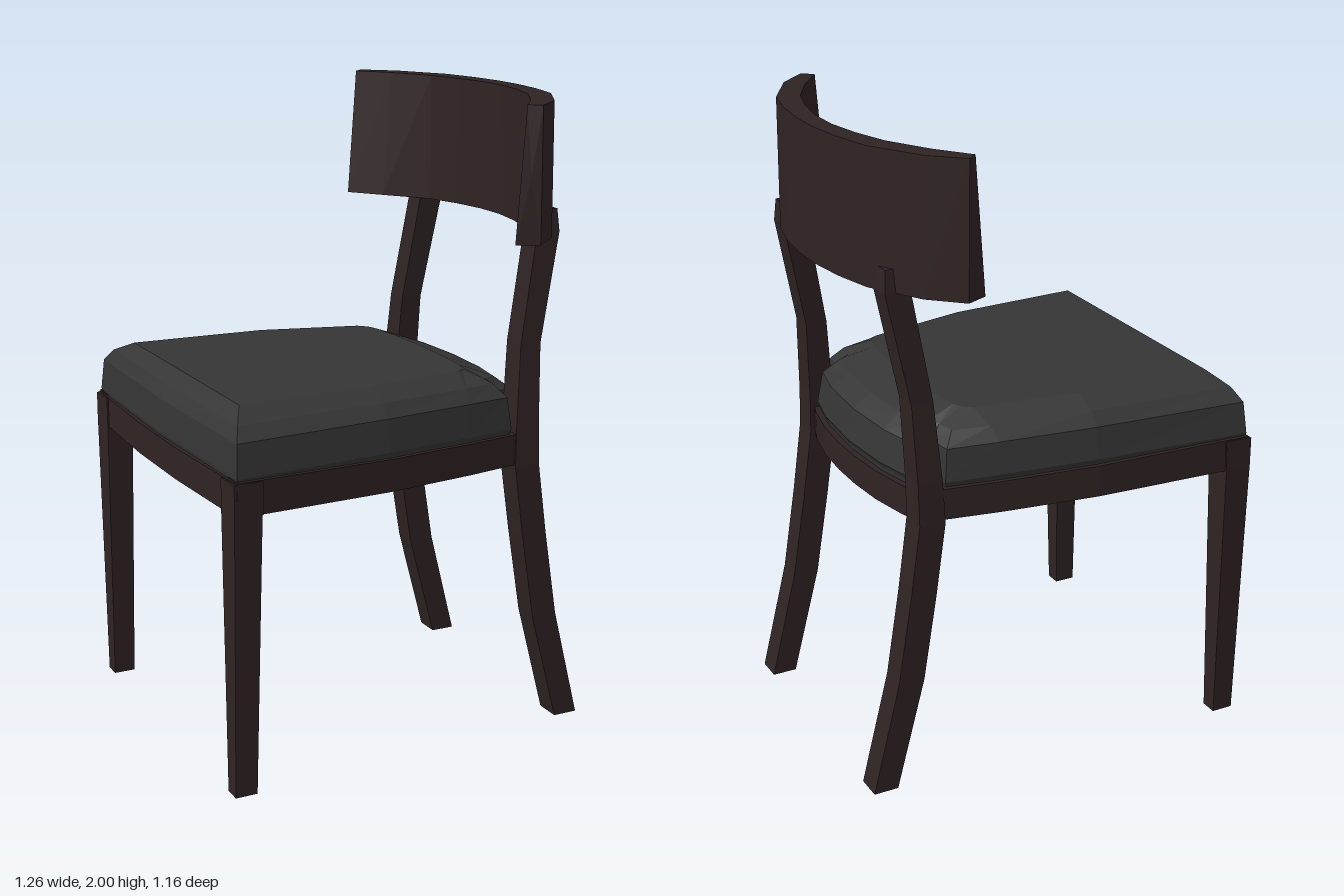
import * as THREE from 'three';

const wood = new THREE.MeshStandardMaterial({ color: 0x2f2323, flatShading: true });
wood.name = 'dark wood';
const fabric = new THREE.MeshStandardMaterial({ color: 0x353535, flatShading: true });
fabric.name = 'charcoal fabric';

// Skin a list of closed cross-sections (equal point counts) and cap both ends
function loft(sections) {
  const tris = [];
  const n = sections[0].length;
  for (let i = 0; i < sections.length - 1; i++) {
    const a = sections[i], b = sections[i + 1];
    for (let j = 0; j < n; j++) {
      const k = (j + 1) % n;
      tris.push([a[j], a[k], b[k]], [a[j], b[k], b[j]]);
    }
  }
  const cap = (s, flip) => {
    const c = [0, 1, 2].map(d => s.reduce((sum, p) => sum + p[d], 0) / n);
    for (let j = 0; j < n; j++) {
      const k = (j + 1) % n;
      tris.push(flip ? [c, s[k], s[j]] : [c, s[j], s[k]]);
    }
  };
  cap(sections[0], true);
  cap(sections[sections.length - 1], false);
  // Turn the faces outward whichever way the sections run
  const v = p => new THREE.Vector3(...p);
  const volume = tris.reduce((s, [a, b, c]) => s + v(a).dot(v(b).cross(v(c))), 0);
  if (volume < 0) tris.forEach(t => t.reverse());
  const geo = new THREE.BufferGeometry();
  geo.setAttribute('position', new THREE.Float32BufferAttribute(tris.flat(2), 3));
  geo.computeVertexNormals();
  return geo;
}

// Horizontal rectangle section, used by the legs
const rect = (y, x0, x1, z0, z1) => [[x0, y, z0], [x1, y, z0], [x1, y, z1], [x0, y, z1]];

// Vertical section of a rail from outer to inner edge
const slab = ([x, z], [dx, dz], y0, y1) =>
  [[x, y0, z], [x, y1, z], [x + dx, y1, z + dz], [x + dx, y0, z + dz]];

// Complete a half outline with its mirror image in z
const mirrorPath = half =>
  [...half, ...half.slice().reverse().filter(p => p[1] !== 0).map(p => [p[0], -p[1], ...p.slice(2)])];

export function createModel() {
  const chair = new THREE.Group();
  chair.name = 'chair';
  const add = (name, geo, mat) => {
    const mesh = new THREE.Mesh(geo, mat);
    mesh.name = name;
    chair.add(mesh);
  };

  for (const s of [1, -1]) {
    const side = s > 0 ? 'PositiveZ' : 'NegativeZ';

    // Tapered front legs
    add('frontLeg' + side, loft([
      rect(0.01, -0.62, -0.55, s * 0.49, s * 0.545),
      rect(0.9, -0.622, -0.535, s * 0.475, s * 0.572),
      rect(0.985, -0.622, -0.53, s * 0.475, s * 0.572),
    ]), wood);

    // Rear legs sweep backward below and continue up as back posts
    add('rearLegAndPost' + side, loft([
      [0, 0.55, 0.63, 0.365, 0.45],
      [0.36, 0.455, 0.54, 0.365, 0.45],
      [0.64, 0.41, 0.495, 0.363, 0.45],
      [0.87, 0.378, 0.463, 0.36, 0.45],
      [1.0, 0.383, 0.463, 0.355, 0.443],
      [1.25, 0.402, 0.472, 0.343, 0.425],
      [1.59, 0.46, 0.54, 0.33, 0.408],
      [1.66, 0.468, 0.535, 0.33, 0.40],
    ].map(([y, x0, x1, z0, z1]) => rect(y, x0, x1, s * z0, s * z1))), wood);

    // Gently bowed side rails
    add('sideRail' + side, loft(
      [[-0.61, 0.573], [-0.1, 0.53], [0.2, 0.48], [0.4, 0.438]].map(([x, z]) =>
        slab([x, s * z], [0, -s * 0.07], 0.88 - 0.015 * x, 0.98 - 0.02 * x))), wood);
  }

  // Front and curved rear rails
  add('frontRail', loft([[-0.613, -0.573], [-0.632, -0.15], [-0.632, 0.15], [-0.613, 0.573]]
    .map(p => slab(p, [0.08, 0], 0.888, 0.988))), wood);
  add('rearRail', loft(
    [[0.435, 0.4], [0.46, 0.32], [0.485, 0.19], [0.495, 0.06], [0.495, -0.06],
      [0.485, -0.19], [0.46, -0.32], [0.435, -0.4]]
      .map(p => slab(p, [-0.08, 0], 0.86, 0.955))), wood);

  // Cushion: each outline point holds base x, z and then top x, z
  const outline = [
    [-0.627, 0, -0.54, 0], [-0.61, 0.566, -0.54, 0.425], [-0.1, 0.523, -0.1, 0.405],
    [0.2, 0.473, 0.23, 0.345], [0.372, 0.437, 0.26, 0.32], [0.382, 0.352, 0.27, 0.29],
    [0.452, 0.33, 0.275, 0.26], [0.48, 0.2, 0.285, 0.16], [0.493, 0, 0.29, 0],
  ];
  const full = [...outline, ...outline.slice(1, -1).reverse().map(([x, z, u, w]) => [x, -z, u, -w])];
  add('seatCushion', loft([[0.945, 0.1], [0.985, 0.06], [1.0, 0.02], [1.10, 0.12], [1.14, 0.42], [1.176, 1]]
    .map(([y, t]) => full.map(([x, z, u, w]) => {
      const px = x + (u - x) * t;
      return [px, y - 0.03 * Math.max(0, px), z + (w - z) * t];
    }))), fabric);

  // Curved backrest: outer x, z and inner x, z at each station
  const arc = mirrorPath([
    [0.365, 0.58, 0.312, 0.548], [0.46, 0.49, 0.39, 0.44], [0.555, 0.32, 0.48, 0.3],
    [0.585, 0.19, 0.515, 0.18], [0.6, 0.06, 0.535, 0.06],
  ]).map(([x, z, u, w]) => [x, z, u, Math.sign(z) * Math.abs(w)]);
  add('backrest', loft(arc.map(([x, z, u, w]) => {
    const lean = Math.abs(z) > 0.4 ? 0.015 : 0;
    return [[x, 1.59, z], [x - 0.004, 2, z], [u + lean, 2, w], [u - lean, 1.59, w]];
  })), wood);

  return chair;
}
